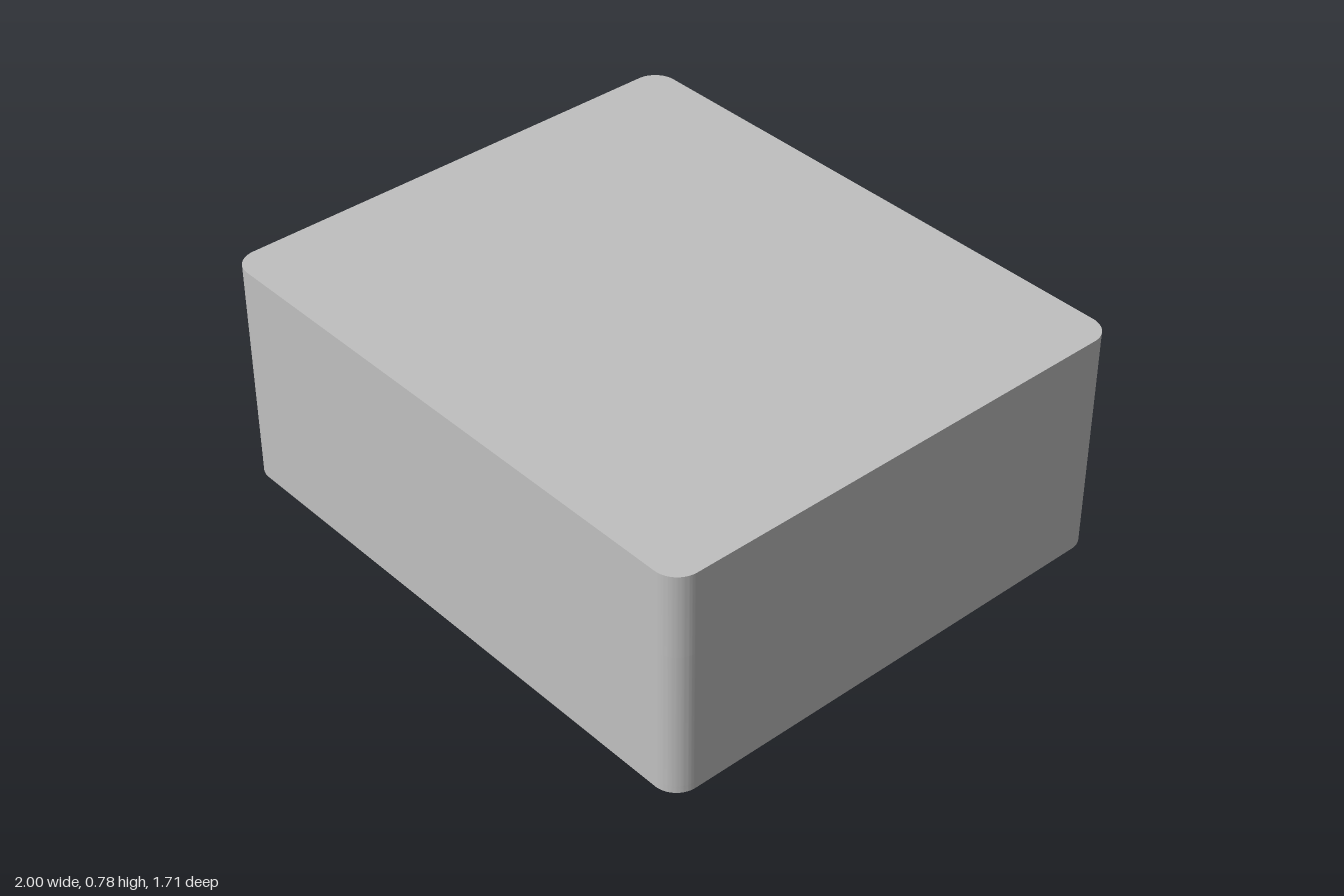
import * as THREE from 'three';
import { toCreasedNormals } from 'three/addons/utils/BufferGeometryUtils.js';

const W = 1, D = 0.855, H = 0.78, R = 0.08;      // half width, half depth, height, corner radius
const PX = 0.685, PF = 0.093, PB = -0.6, PH = 0.5; // main pocket: half width, front, back, height
const SX = 0.765, SZ = 0.48;                     // centre of each small square pocket
const HX = 0.347, HY = 0.255;                    // screw hole centres

export function createModel() {
  const group = new THREE.Group();
  const grey = new THREE.MeshStandardMaterial({ color: 0xc0c0c0, side: THREE.DoubleSide });
  grey.name = 'plain grey';

  const add = (name, geometry) => {
    const mesh = new THREE.Mesh(toCreasedNormals(geometry, 0.6), grey);
    mesh.name = name;
    group.add(mesh);
    return mesh;
  };
  const extrude = (shape, depth) =>
    new THREE.ExtrudeGeometry(shape, { depth, bevelEnabled: false, curveSegments: 14 });
  // Plan shapes use (x, -z) and rise from y0 to y1
  const rise = (shape, y0, y1) => extrude(shape, y1 - y0).rotateX(-Math.PI / 2).translate(0, y0, 0);

  // Roof: full rounded rectangle
  const roof = new THREE.Shape();
  roof.moveTo(-W + R, -D).lineTo(W - R, -D);
  roof.absarc(W - R, -D + R, R, -Math.PI / 2, 0);
  roof.absarc(W - R, D - R, R, 0, Math.PI / 2);
  roof.absarc(-W + R, D - R, R, Math.PI / 2, Math.PI);
  roof.absarc(-W + R, -D + R, R, Math.PI, Math.PI * 1.5);
  add('roof', rise(roof, PH, H));

  // Front and side walls: U-shaped plan, open at the back, with two square pockets
  const wallPlan = (half) => {
    const r = 0.05, s = new THREE.Shape();
    s.moveTo(-W + R, -D).lineTo(W - R, -D);
    s.absarc(W - R, -D + R, R, -Math.PI / 2, 0);
    s.absarc(W - R, D - R, R, 0, Math.PI / 2);
    s.lineTo(PX, D);
    s.lineTo(PX, -PF + r);
    s.absarc(PX - r, -PF + r, r, 0, -Math.PI / 2, true);
    s.absarc(-PX + r, -PF + r, r, -Math.PI / 2, -Math.PI, true);
    s.lineTo(-PX, D);
    s.absarc(-W + R, D - R, R, Math.PI / 2, Math.PI);
    s.absarc(-W + R, -D + R, R, Math.PI, Math.PI * 1.5);
    for (const x of [-SX, SX]) {
      const p = new THREE.Path();
      p.moveTo(x - half, -SZ - half).lineTo(x - half, -SZ + half);
      p.lineTo(x + half, -SZ + half).lineTo(x + half, -SZ - half).closePath();
      s.holes.push(p);
    }
    return s;
  };
  const lip = 0.025, outer = 0.168, inner = 0.143;
  add('walls', rise(wallPlan(inner), lip, PH));
  add('wallFoot', rise(wallPlan(outer), 0, lip));

  // Back wall: two slabs, wide counterbores outside and narrow holes inside
  const backSlab = (name, radius, z0, z1) => {
    const s = new THREE.Shape();
    s.moveTo(-PX, 0).lineTo(PX, 0).lineTo(PX, PH).lineTo(-PX, PH).closePath();
    for (const x of [-HX, HX]) s.holes.push(new THREE.Path().absarc(x, HY, radius, 0, Math.PI * 2, true));
    add(name, extrude(s, z1 - z0).translate(0, 0, z0));
  };
  backSlab('backWallCounterbores', 0.195, -D, -0.73);
  backSlab('backWallScrewHoles', 0.1, -0.73, PB);

  // Stepped block profile in (z, y), extruded across x
  const block = new THREE.Shape([
    [0.1, 0.03], [-0.025, 0.03], [-0.025, 0.05], [-0.07, 0.05],
    [-0.093, 0.08], [-0.093, PH], [0.1, PH],
  ].map(([z, y]) => new THREE.Vector2(-z, y)));

  for (const [side, name] of [[1, 'left'], [-1, 'right']]) {
    // Chamfer around the mouth of the small pocket
    const chamfer = new THREE.CylinderGeometry(inner * Math.SQRT2, outer * Math.SQRT2, lip, 4, 1, true);
    add(name + 'PocketChamfer', chamfer.rotateY(Math.PI / 4).translate(side * SX, lip / 2, SZ));
    // Block on the front wall of the main pocket, facing the screw hole
    const w = 0.275;
    add(name + 'InnerBlock', extrude(block, w).translate(0, 0, -w / 2).rotateY(Math.PI / 2).translate(side * HX, 0, 0));
  }
  return group;
}
